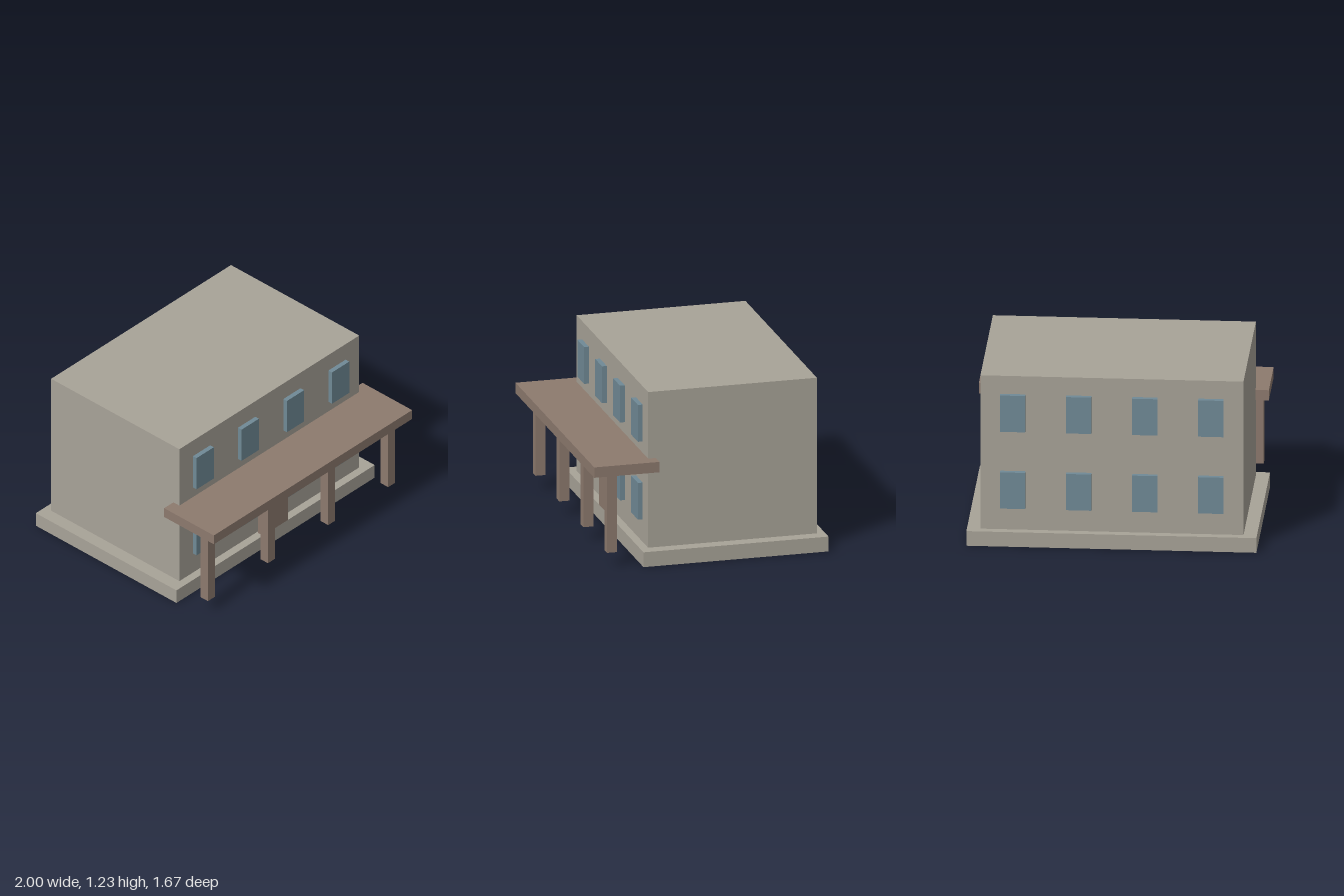
import * as THREE from 'three';

export function createModel() {
  const model = new THREE.Group();
  model.name = 'house';

  const material = (name, color) => {
    const m = new THREE.MeshStandardMaterial({ color });
    m.name = name;
    return m;
  };
  const stone = material('stone', 0xa8a398);
  const wood = material('wood', 0x8d7a6e);
  const glass = material('glass', 0x708a96);

  // Box given by its extents along each axis
  const box = (name, mat, [x0, x1], [y0, y1], [z0, z1], parent = model) => {
    const mesh = new THREE.Mesh(new THREE.BoxGeometry(x1 - x0, y1 - y0, z1 - z0), mat);
    mesh.position.set((x0 + x1) / 2, (y0 + y1) / 2, (z0 + z1) / 2);
    mesh.name = name;
    parent.add(mesh);
  };

  // Plinth and main block
  box('foundation', stone, [-1, 1], [0, 0.107], [-0.837, 0.485]);
  box('walls', stone, [-0.907, 0.907], [0.107, 1.23], [-0.78, 0.426]);

  // Front door
  box('door', wood, [-0.127, 0.127], [0.107, 0.483], [0.438, 0.485]);

  // Porch roof on four posts
  const porch = new THREE.Group();
  porch.name = 'porch';
  model.add(porch);
  box('porchRoof', wood, [-1, 1], [0.675, 0.75], [0.37, 0.837], porch);
  for (const x of [-0.909, -0.304, 0.304, 0.909]) {
    box('porchPost', wood, [x - 0.035, x + 0.035], [0.107, 0.675], [0.657, 0.729], porch);
  }

  // Two rows of four windows, front and back
  const windows = new THREE.Group();
  windows.name = 'windows';
  model.add(windows);
  for (const [side, z] of [['front', [0.426, 0.46]], ['back', [-0.815, -0.78]]]) {
    for (const y of [[0.27, 0.535], [0.832, 1.098]]) {
      for (const x of [-0.683, -0.228, 0.228, 0.683]) {
        box(side + 'Window', glass, [x - 0.087, x + 0.087], y, z, windows);
      }
    }
  }

  return model;
}
